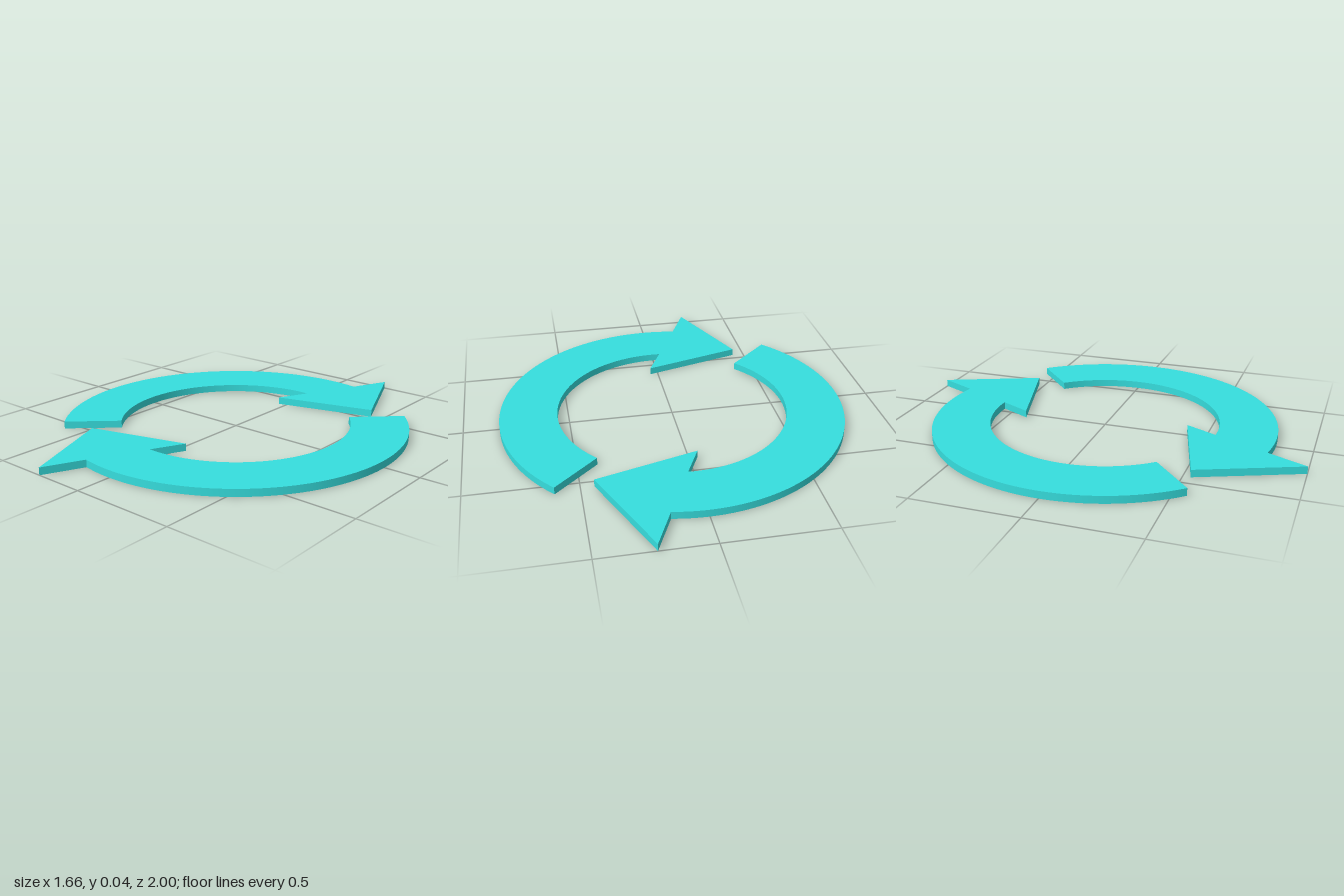
import * as THREE from 'three';
import { toCreasedNormals } from 'three/addons/utils/BufferGeometryUtils.js';

const OUTER = 0.83, INNER = 0.555, THICKNESS = 0.035;

export function createModel() {
  const group = new THREE.Group();
  group.name = 'circulatingArrows';
  const material = new THREE.MeshStandardMaterial({ color: 0x36dede });

  // Flat curved arrow: outer arc, barbed head, inner arc back to the tail
  const tail = Math.atan2(-0.56, -0.61) + Math.PI * 2;
  const shape = new THREE.Shape();
  shape.absarc(0, 0, OUTER, tail, Math.atan2(0.82, 0.16), true);
  shape.lineTo(0.245, 1);
  shape.lineTo(0.44, 0.535);
  shape.lineTo(-0.04, 0.402);
  shape.lineTo(0.035, 0.555);
  shape.absarc(0, 0, INNER, Math.atan2(0.555, 0.035), tail, false);
  shape.closePath();

  const extruded = new THREE.ExtrudeGeometry(shape, {
    depth: THICKNESS, bevelEnabled: false, curveSegments: 48,
  });
  extruded.rotateX(-Math.PI / 2);
  const geometry = toCreasedNormals(extruded, Math.PI / 9);

  // Two identical arrows, half a turn apart
  ['backArrow', 'frontArrow'].forEach((name, i) => {
    const arrow = new THREE.Mesh(geometry, material);
    arrow.name = name;
    arrow.rotation.y = i * Math.PI;
    group.add(arrow);
  });
  return group;
}
